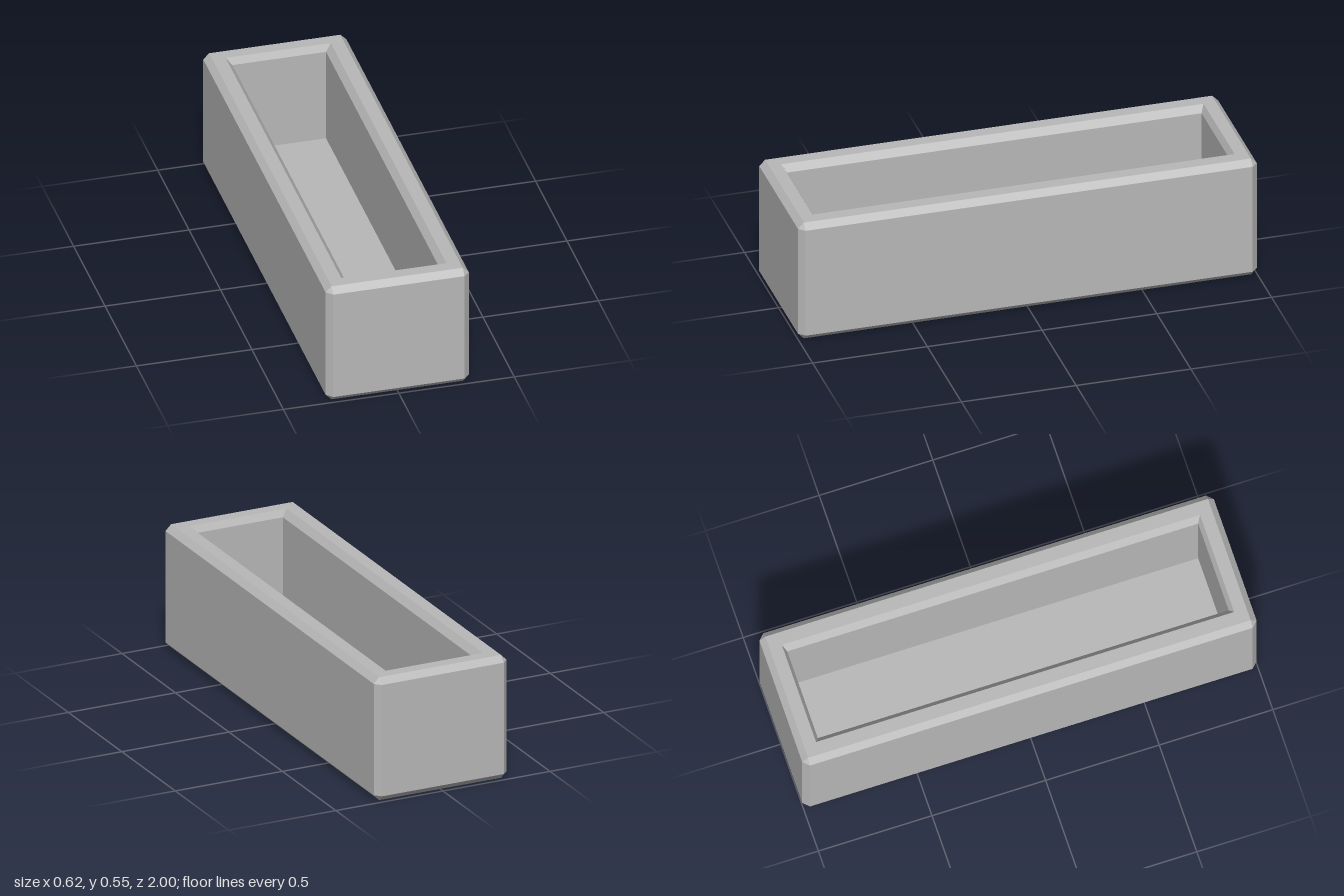
import * as THREE from 'three';

const W = 0.31, L = 1.0, H = 0.552, C = 0.026; // half width, half length, height, chamfer
const OW = 0.2275, OL = 0.92;                   // opening at the rim
const IW = 0.203, IL = 0.904;                   // opening below its chamfer
const FLOOR = 0.1;

// Horizontal loop of eight points; cut = 0 gives a plain rectangle
function ring(hx, hz, y, cut = 0) {
  const a = hx - cut, b = hz - cut;
  return [[hx, b], [a, hz], [-a, hz], [-hx, b], [-hx, -b], [-a, -hz], [a, -hz], [hx, -b]]
    .map(([x, z]) => new THREE.Vector3(x, y, z));
}

// Joins consecutive loops with flat faces, leaving out collapsed triangles
function loft(rings) {
  const pos = [];
  const tri = new THREE.Triangle();
  const add = (a, b, c) => {
    if (tri.set(a, b, c).getArea() > 1e-7) pos.push(...a, ...b, ...c);
  };
  for (let r = 0; r < rings.length - 1; r++) {
    const lo = rings[r], hi = rings[r + 1];
    for (let i = 0; i < 8; i++) {
      const j = (i + 1) % 8;
      add(lo[i], hi[i], lo[j]);
      add(lo[j], hi[i], hi[j]);
    }
  }
  const g = new THREE.BufferGeometry();
  g.setAttribute('position', new THREE.Float32BufferAttribute(pos, 3));
  g.computeVertexNormals();
  return g;
}

export function createModel() {
  const model = new THREE.Group();
  model.name = 'planterBox';
  const grey = new THREE.MeshStandardMaterial({ color: 0xb8b8b8 });
  grey.name = 'stone grey';

  const addPart = (name, rings) => {
    const mesh = new THREE.Mesh(loft(rings), grey);
    mesh.name = name;
    model.add(mesh);
  };

  // Underside, chamfered outer walls and flat rim
  addPart('outerShell', [
    ring(0, L - W, 0),
    ring(W - C, L - C, 0),
    ring(W, L, C, C),
    ring(W, L, H - C, C),
    ring(W - C, L - C, H),
    ring(OW, OL, H),
  ]);

  // Chamfered mouth, inner walls and floor
  addPart('innerCavity', [
    ring(OW, OL, H),
    ring(IW, IL, H - 0.03),
    ring(IW, IL, FLOOR),
    ring(0, IL - IW, FLOOR),
  ]);

  return model;
}
